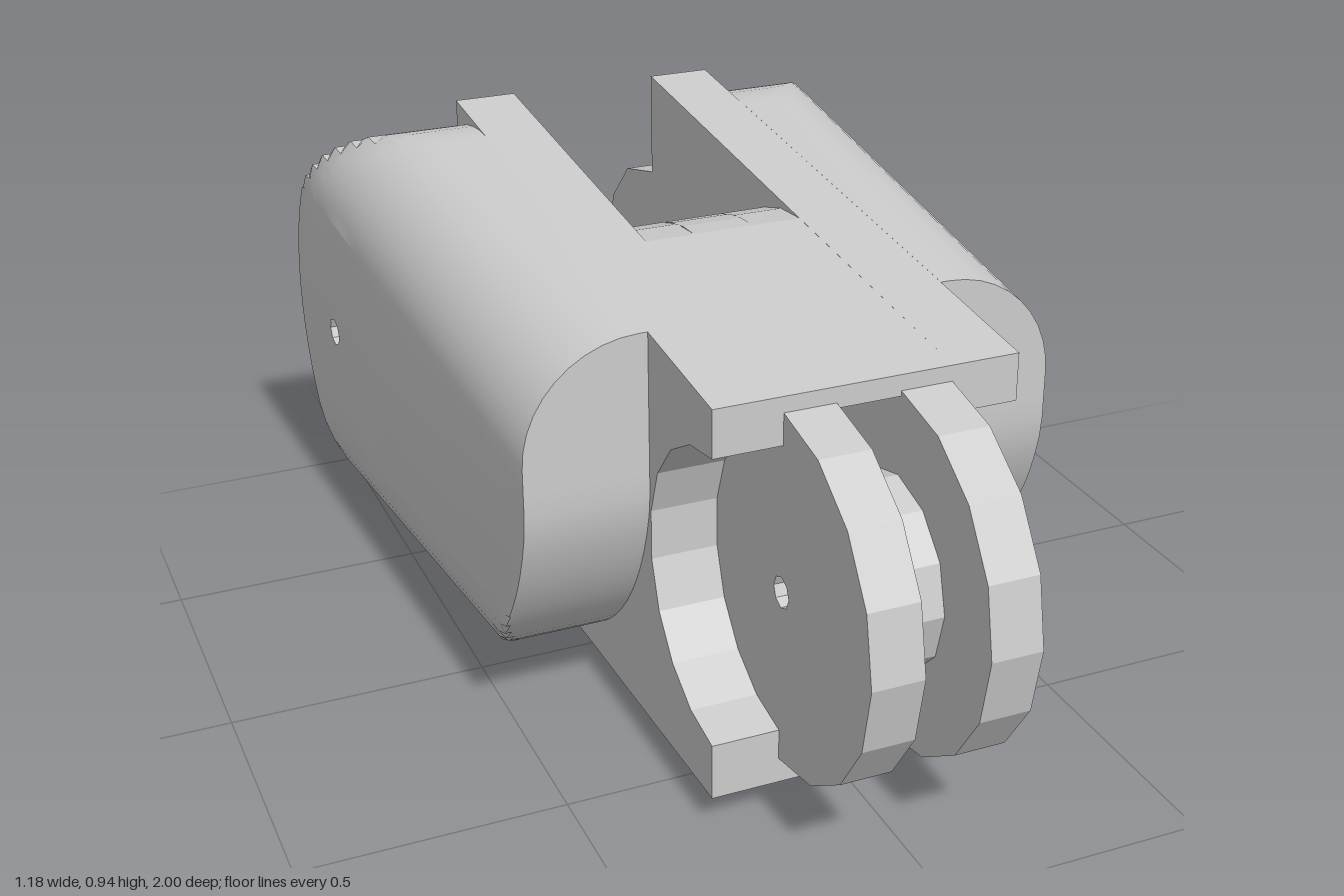
import * as THREE from 'three';
import { toCreasedNormals } from 'three/addons/utils/BufferGeometryUtils.js';

const FRONT = [0.66, 0.45];   // front pivot (z, y)
const REAR = [-0.73, 0.45];   // rear pivot (z, y)

// Points of an arc in the (z, y) plane, angles in degrees
function arc([cz, cy], r, from, to, n) {
  return Array.from({ length: n + 1 }, (_, i) => {
    const a = THREE.MathUtils.degToRad(from + (to - from) * i / n);
    return [cz + r * Math.cos(a), cy + r * Math.sin(a)];
  });
}

const toVectors = (pts) => pts.map(([z, y]) => new THREE.Vector2(z, y));

// Side profile (z, y) extruded across x from x0 to x1, with an optional pin hole
function slab(profile, x0, x1, pivot, steps = 1) {
  const shape = new THREE.Shape(toVectors(profile));
  if (pivot) shape.holes.push(new THREE.Path(toVectors(arc(pivot, 0.03, 0, 315, 7))));
  const geo = new THREE.ExtrudeGeometry(shape, { depth: x1 - x0, steps, bevelEnabled: false });
  return geo.rotateY(-Math.PI / 2).translate(x1, 0, 0);
}

// Side shell: tapered in plan, with rounded long edges on the outside
function shellGeometry(side) {
  const steps = 11, inner = 0.285, r = 0.22;
  const profile = [
    [0.38, 0.845],
    ...arc([-0.52, 0.462], 0.462, 88, 270, 32),
    [-0.3, 0.012],
    ...arc([-0.2, 0.62], 0.59, 272, 360, 20).map(([z, y]) => [Math.min(z, 0.38), y]),
  ];
  const geo = slab(profile, side > 0 ? 0 : -1, side > 0 ? 1 : 0, REAR, steps);
  const pos = geo.attributes.position;
  for (let i = 0; i < pos.count; i++) {
    const z = pos.getZ(i);
    const k = Math.round(Math.abs(pos.getX(i)) * steps);
    const a = Math.max(k - 1, 0) / (steps - 1) * Math.PI / 2;
    const width = 0.54 - 0.052 * z;
    const inset = r * (1 - Math.cos(a));
    const x = k === 0 ? inner : width - r + r * Math.sin(a);
    const low = 0.035 + 0.06 * z + inset;
    const high = 0.878 - 0.0876 * z - inset;
    pos.setXYZ(i, side * x, THREE.MathUtils.clamp(pos.getY(i), low, high), z);
  }
  geo.computeVertexNormals();
  return toCreasedNormals(geo, 0.45);
}

export function createModel() {
  const model = new THREE.Group();
  const material = new THREE.MeshStandardMaterial({ color: 0xcccccc });
  const add = (name, geo) => {
    const mesh = new THREE.Mesh(geo, material);
    mesh.name = name;
    model.add(mesh);
  };

  // Cheek: concave socket in front, arm and pivot ear behind
  const cheek = [
    [0.66, 0.82], [-0.71, 0.94], [-0.71, 0.72],
    ...arc(REAR, 0.265, 90, 300, 7),
    [-0.07, 0.12], [-0.07, 0.032], [0.66, 0.06],
    ...arc(FRONT, 0.28, 270, 90, 9),
  ];

  // Core plate: round knuckle in front, convex wall behind
  const wall = [0.05, 0.455], wallRadius = 0.418;
  const plate = [
    [0.66, 0.82],
    ...arc(FRONT, 0.34, 90, -90, 8),
    [0.66, 0.06], [-0.07, 0.032],
    ...arc(wall, wallRadius, 250, 90, 14),
  ];

  for (const [label, side] of [['left', 1], ['right', -1]]) {
    const mirrored = (profile, a, b, pivot) =>
      slab(profile, side > 0 ? a : -b, side > 0 ? b : -a, pivot);
    add(label + 'Shell', shellGeometry(side));
    add(label + 'CheekAndEar', mirrored(cheek, 0.157, 0.285, REAR));
    add(label + 'KnucklePlate', mirrored(plate, 0.06, 0.157, FRONT));
  }

  // Hub between the knuckle plates
  add('hub', slab(arc(FRONT, 0.182, 0, 330, 11), -0.06, 0.06, FRONT));

  // Roof and floor of the central channel
  add('channelRoof', slab([
    [0.66, 0.82], [0.66, 0.78], [0.4, 0.7], [0.1, 0.7],
    ...arc(wall, wallRadius, 120, 90, 4),
  ], -0.06, 0.06));
  add('channelFloor', slab([
    [0.66, 0.06], [0.66, 0.1], [0.4, 0.18], [0, 0.18],
    ...arc(wall, wallRadius, 240, 250, 2), [-0.07, 0.032],
  ], -0.06, 0.06));

  return model;
}
